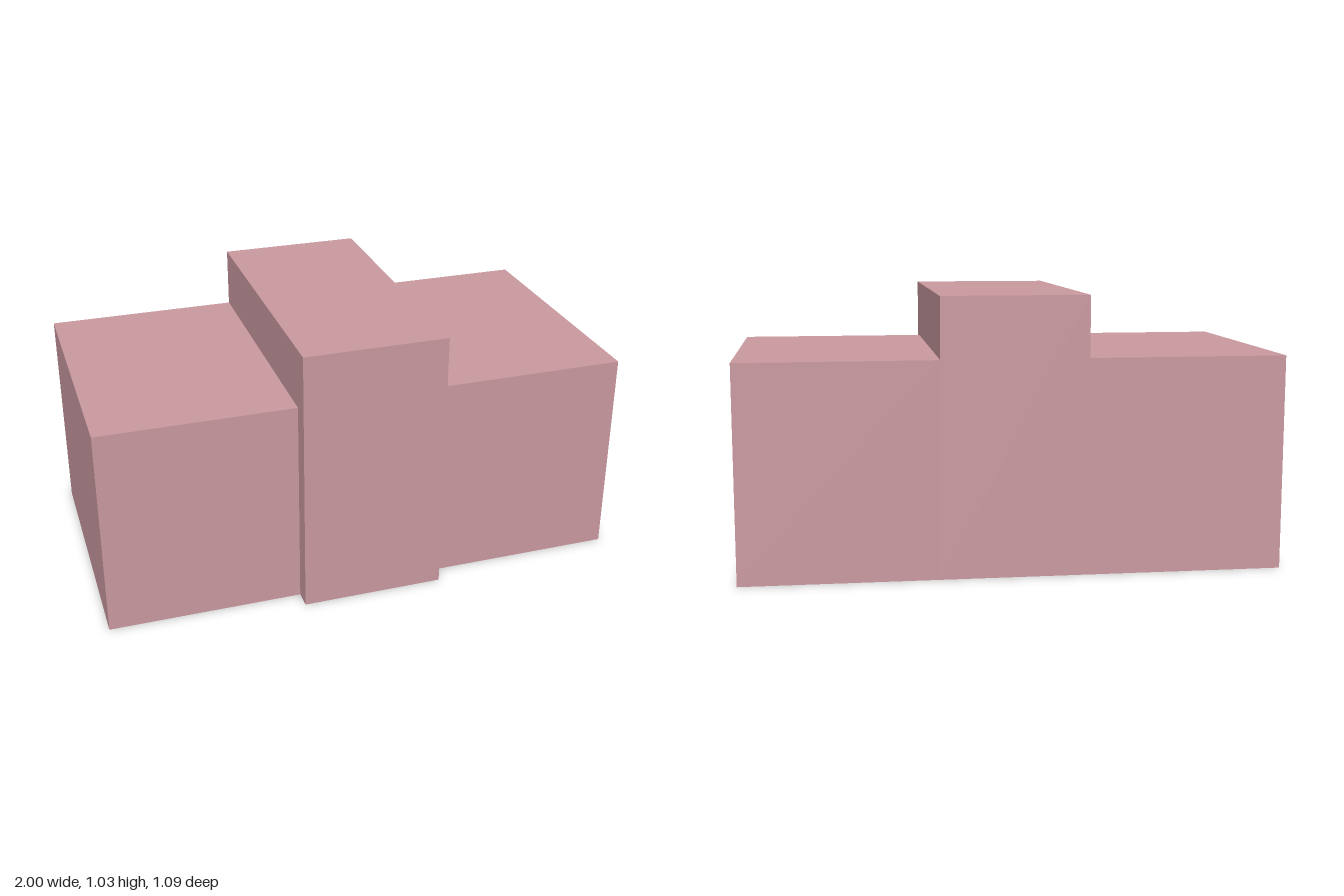
import * as THREE from 'three';

export function createModel() {
  const group = new THREE.Group();
  const dustyPink = new THREE.MeshStandardMaterial({ color: 0xcb9aa1 });
  dustyPink.name = 'dustyPink';

  const back = -0.547; // shared flush back plane

  // Box standing on the ground, reaching from the back plane to the given front
  function block(name, x0, x1, height, front) {
    const depth = front - back;
    const mesh = new THREE.Mesh(new THREE.BoxGeometry(x1 - x0, height, depth), dustyPink);
    mesh.position.set((x0 + x1) / 2, height / 2, back + depth / 2);
    mesh.name = name;
    group.add(mesh);
  }

  // Taller central block that steps forward
  block('centralBlock', -0.27, 0.27, 1.026, 0.547);
  // Lower wings on both sides
  block('leftWing', 0.27, 1, 0.8, 0.477);
  block('rightWing', -1, -0.27, 0.8, 0.477);

  return group;
}
